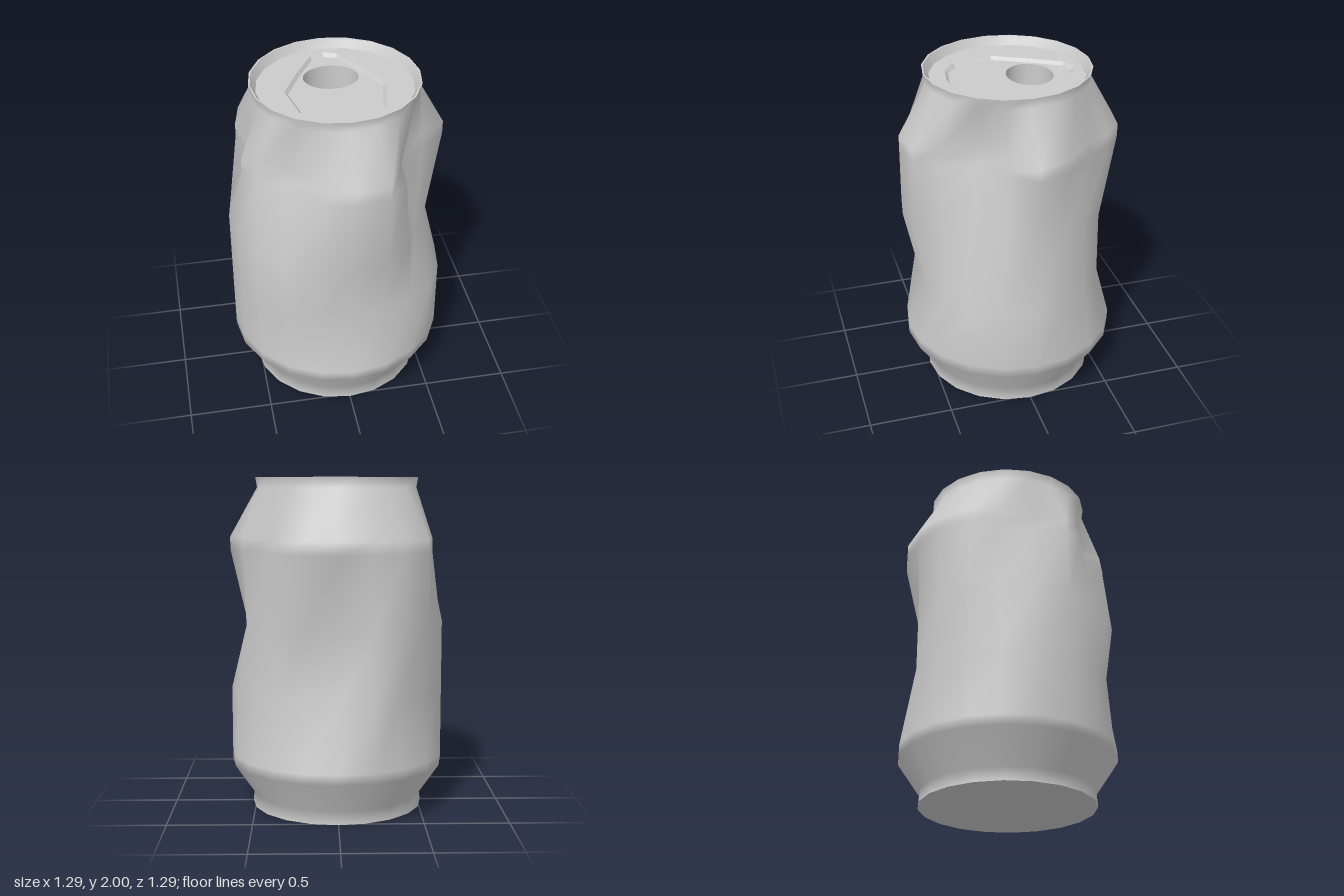
import * as THREE from 'three';

const SIDES = 20;
const material = new THREE.MeshStandardMaterial({ color: 0xcccccc });

// Ring of [x, z] points, starting at the front and turning towards +x
function ring(rx, rz = rx, cz = 0, n = SIDES) {
  return Array.from({ length: n }, (_, i) => {
    const a = (i / n) * Math.PI * 2;
    return [rx * Math.sin(a), cz + rz * Math.cos(a)];
  });
}

// Smooth skin through closed cross-sections { y, pts }, points being [x, z, lift]
function loft(sections) {
  const n = sections[0].pts.length;
  const pos = [], idx = [];
  sections.forEach(({ y, pts }) => pts.forEach(([x, z, lift = 0]) => pos.push(x, y + lift, z)));
  for (let s = 0; s < sections.length - 1; s++) {
    for (let i = 0; i < n; i++) {
      const a = s * n + i, b = s * n + ((i + 1) % n);
      idx.push(a, b, b + n, a, b + n, a + n);
    }
  }
  const g = new THREE.BufferGeometry();
  g.setAttribute('position', new THREE.Float32BufferAttribute(pos, 3));
  g.setIndex(idx);
  g.computeVertexNormals();
  return g;
}

// Flat horizontal plate, facing up, with an optional opening
function plate(pts, y, hole) {
  const toV = (p) => p.map(([x, z]) => new THREE.Vector2(x, -z));
  const shape = new THREE.Shape(toV(pts));
  if (hole) shape.holes.push(new THREE.Path(toV(hole)));
  return new THREE.ShapeGeometry(shape).rotateX(-Math.PI / 2).translate(0, y, 0);
}

// Full-radius ring with some points pushed in to the given places
const dented = (points) => ring(0.645).map((p, i) => points[i] ?? p);

// Dents, as point number: [x, z, lift]
const shoulderDents = {
  1: [0.2, 0.61], 2: [0.28, 0.46, 0.03], 3: [0.28, 0.25, 0.04], 4: [0.48, 0.13, 0.01],
  6: [0.56, -0.2], 7: [0.38, -0.375], 8: [0.32, -0.51],
  14: [-0.56, -0.19], 15: [-0.52, 0.02], 16: [-0.57, 0.2],
  17: [-0.5, 0.3], 18: [-0.33, 0.32], 19: [-0.17, 0.56],
};
const underShoulderDents = {
  ...shoulderDents,
  2: [0.315, 0.48], 3: [0.33, 0.28], 4: [0.49, 0.14], 7: [0.4, -0.38],
  17: [-0.505, 0.31], 18: [-0.34, 0.34], 19: [-0.175, 0.57],
};
const waistDents = {
  2: [0.345, 0.49], 3: [0.41, 0.34], 4: [0.52, 0.15], 5: [0.545, 0], 6: [0.54, -0.19],
  7: [0.43, -0.34], 8: [0.34, -0.465], 9: [0.19, -0.505], 10: [0, -0.505], 11: [-0.2, -0.6],
};
const lowerDents = {
  0: [0, 0.56], 1: [0.19, 0.55], 2: [0.37, 0.49], 18: [-0.36, 0.5], 19: [-0.19, 0.55],
  6: [0.59, -0.19], 7: [0.47, -0.34], 8: [0.35, -0.465], 9: [0.19, -0.51], 10: [0, -0.52],
  11: [-0.2, -0.6], 12: [-0.34, -0.51], 13: [-0.47, -0.37], 14: [-0.58, -0.2],
};

export function createModel() {
  const group = new THREE.Group();
  const add = (name, geometry) => {
    const mesh = new THREE.Mesh(geometry, material);
    mesh.name = name;
    group.add(mesh);
  };

  // Crumpled wall from the foot to the flared lip
  add('body', loft([
    { y: 0, pts: ring(0.52) },
    { y: 0.08, pts: ring(0.515) },
    { y: 0.27, pts: ring(0.645) },
    { y: 0.33, pts: ring(0.645) },
    { y: 0.72, pts: dented(lowerDents) },
    { y: 1.13, pts: dented(waistDents) },
    { y: 1.57, pts: dented(underShoulderDents) },
    { y: 1.645, pts: dented(shoulderDents) },
    { y: 1.94, pts: ring(0.48) },
    { y: 2, pts: ring(0.49) },
  ]));
  add('base', plate(ring(0.52), 0).rotateX(Math.PI));

  // Rim: flat top edge and inside slope down to the lid
  const lidY = 1.95, floorY = 1.93, pitY = 1.63;
  add('rimEdge', plate(ring(0.49), 2, ring(0.48)));
  add('rimSlope', loft([{ y: 2, pts: ring(0.48) }, { y: lidY, pts: ring(0.45) }]));

  // Lid with a pear-shaped recess
  const half = [[0.15, 0.33], [0.24, 0.26], [0.29, 0.02], [0.19, -0.18], [0.08, -0.37]];
  const outline = [[0, 0.355], ...half, [0, -0.405],
    ...half.map(([x, z]) => [-x, z]).reverse()];
  const inset = outline.map(([x, z]) => [x * 0.935, z * 0.945]);
  add('lid', plate(ring(0.45), lidY, outline));
  const wall = loft([{ y: lidY, pts: outline }, { y: floorY, pts: inset }]).toNonIndexed();
  wall.computeVertexNormals();
  add('recessWall', wall);

  // Oval opening with its inner wall and bottom
  const mouth = ring(0.16, 0.135, -0.135, 40);
  add('recessFloor', plate(inset, floorY, mouth));
  add('openingWall', loft([{ y: floorY, pts: mouth }, { y: pitY, pts: mouth }]));
  add('openingBottom', plate(mouth, pitY));

  return group;
}
